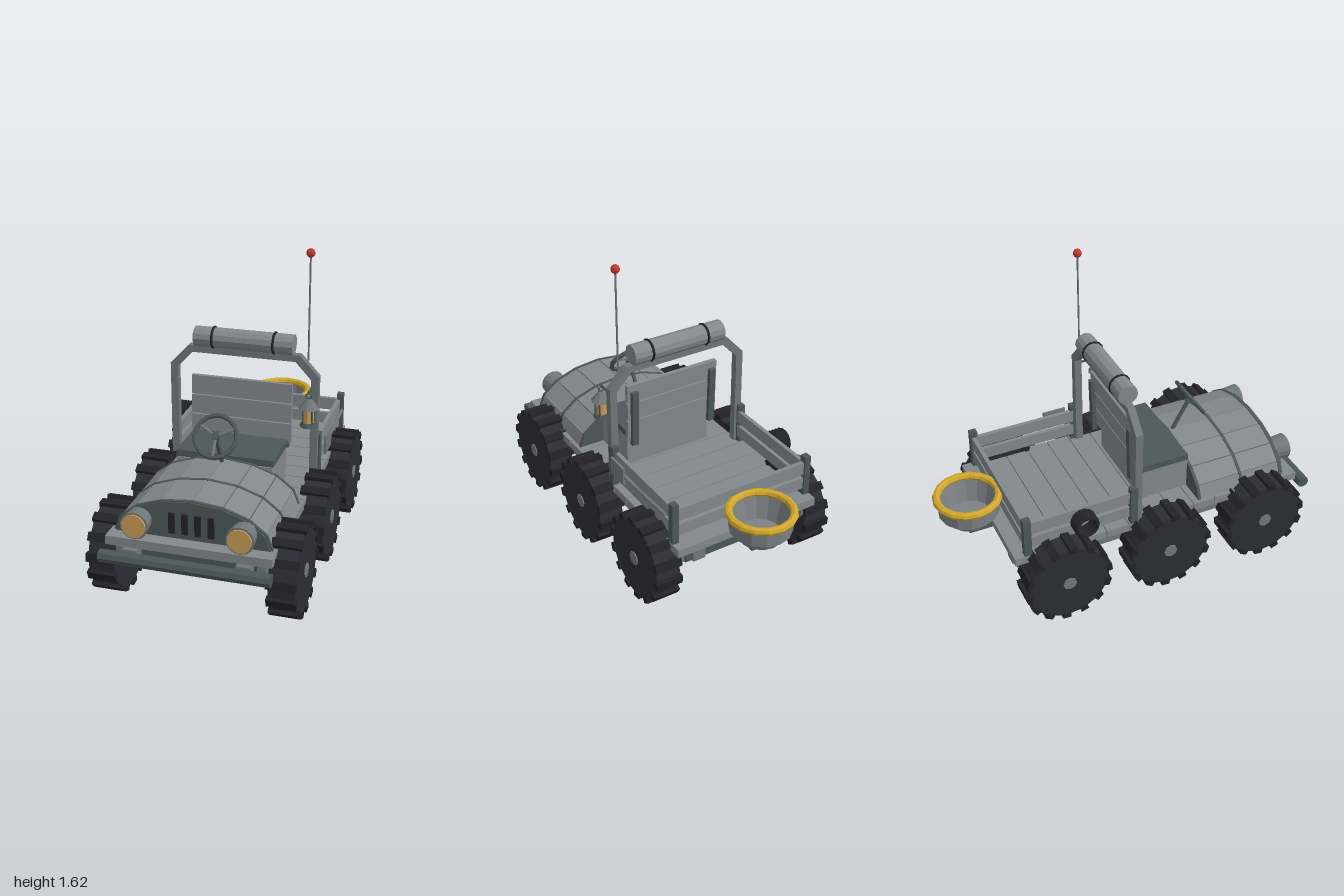
import * as THREE from 'three';

const mat = (name, color, extra = {}) => {
  const m = new THREE.MeshStandardMaterial({ color, flatShading: true, ...extra });
  m.name = name;
  return m;
};

export function createModel() {
  const root = new THREE.Group();
  const plank = mat('weathered plank', 0x83888d);
  const steel = mat('steel grey', 0x70777a);
  const dark = mat('dark slate', 0x4c5757);
  const rubber = mat('tyre', 0x2c2c35);
  const tread = mat('tread black', 0x222228);
  const lens = mat('lamp tan', 0xcb9d56);
  const gold = mat('gold', 0xd0a62c);
  const red = mat('red', 0xc0392b);
  const open = mat('bucket grey', 0x7c8184, { side: THREE.DoubleSide });

  const add = (name, geo, m, x = 0, y = 0, z = 0, parent = root) => {
    const mesh = new THREE.Mesh(geo, m);
    mesh.name = name;
    mesh.position.set(x, y, z);
    parent.add(mesh);
    return mesh;
  };
  const box = (name, m, w, h, d, x, y, z, parent) =>
    add(name, new THREE.BoxGeometry(w, h, d), m, x, y, z, parent);
  // Cylinder between two points
  const rod = (name, m, a, b, r, sides = 8, parent = root) => {
    const p = new THREE.Vector3(...a), q = new THREE.Vector3(...b);
    const mesh = add(name, new THREE.CylinderGeometry(r, r, p.distanceTo(q), sides), m, 0, 0, 0, parent);
    mesh.position.copy(p).add(q).multiplyScalar(0.5);
    mesh.quaternion.setFromUnitVectors(new THREE.Vector3(0, 1, 0), q.sub(p).normalize());
    return mesh;
  };

  // Six lugged wheels with axles and axle blocks
  for (const z of [0.67, 0.1, -0.47]) {
    rod('axle', dark, [-0.4, 0.245, z], [0.4, 0.245, z], 0.025);
    for (const s of [-1, 1]) {
      const wheel = new THREE.Group();
      wheel.name = 'wheel';
      wheel.position.set(s * 0.447, 0.24, z);
      root.add(wheel);
      rod('tyre', rubber, [-0.066, 0, 0], [0.066, 0, 0], 0.217, 28, wheel);
      rod('hub', steel, [-0.072, 0, 0], [0.072, 0, 0], 0.037, 8, wheel);
      for (let i = 0; i < 14; i++) {
        const a = (i / 14) * Math.PI * 2 + 0.1;
        const lug = box('lug', tread, 0.146, 0.03, 0.044, 0, Math.cos(a) * 0.22, Math.sin(a) * 0.22, wheel);
        lug.rotation.x = a;
      }
      box('axleBlock', dark, 0.07, 0.09, 0.08, s * 0.278, 0.255, z);
    }
  }

  // Chassis rails, cross beams and bumper
  for (const s of [-1, 1]) {
    box('chassisRail', steel, 0.07, 0.075, 1.64, s * 0.278, 0.328, 0.12);
    box('sideSill', steel, 0.04, 0.11, 1.56, s * 0.35, 0.348, 0.1);
  }
  for (const z of [0.84, 0.39, -0.19, -0.66]) box('crossBeam', dark, 0.7, 0.06, 0.06, 0, 0.325, z);
  rod('bumper', dark, [-0.42, 0.33, 0.962], [0.42, 0.33, 0.962], 0.033);

  // Deck planks laid crosswise
  for (let i = 0; i < 13; i++) {
    box('deckPlank', plank, 0.82, 0.045, 0.121, 0, 0.387, -0.657 + i * 0.1257);
  }

  // Arched bonnet: dark core with planks following the arch
  const N = 8, arch = [];
  for (let i = 0; i <= N; i++) {
    const a = (i / N) * Math.PI;
    arch.push(new THREE.Vector2(0.385 * Math.cos(a), 0.405 + 0.2 * Math.sin(a)));
  }
  const archShape = (k) => new THREE.Shape(arch.map((p) => new THREE.Vector2(p.x * k, 0.405 + (p.y - 0.405) * k)));
  const slab = (name, m, k, z0, z1) =>
    add(name, new THREE.ExtrudeGeometry(archShape(k), { depth: z1 - z0, bevelEnabled: false }), m, 0, 0, z0);
  slab('bonnetCore', dark, 0.97, 0.33, 0.83);
  for (let i = 0; i < N; i++) {
    const a = arch[i], b = arch[i + 1], len = a.distanceTo(b);
    const p = box('bonnetPlank', plank, len * 0.97, 0.012, 0.5, (a.x + b.x) / 2, (a.y + b.y) / 2 - 0.004, 0.58);
    p.rotation.z = Math.atan2(b.y - a.y, b.x - a.x);
  }
  for (const z of [0.33, 0.585, 0.825]) slab('bonnetBand', dark, 1.025, z - 0.008, z + 0.008);
  slab('grillePanel', dark, 1, 0.825, 0.842);
  for (const x of [-0.097, -0.032, 0.032, 0.097]) box('grilleSlot', tread, 0.03, 0.105, 0.02, x, 0.49, 0.842);

  // Headlamps
  for (const s of [-1, 1]) {
    const lamp = add('headlamp', new THREE.CylinderGeometry(0.07, 0.058, 0.11, 14), steel, s * 0.258, 0.487, 0.865);
    lamp.rotation.x = Math.PI / 2;
    rod('headlampLens', lens, [s * 0.258, 0.487, 0.915], [s * 0.258, 0.487, 0.928], 0.06, 14);
  }

  // Steering wheel and column
  rod('steeringColumn', dark, [0, 0.59, 0.355], [0, 0.78, 0.46], 0.011);
  const steer = new THREE.Group();
  steer.name = 'steeringWheel';
  steer.position.set(0, 0.782, 0.462);
  steer.rotation.x = -0.61;
  root.add(steer);
  add('steeringRim', new THREE.TorusGeometry(0.106, 0.012, 6, 18), dark, 0, 0, 0, steer);
  for (const a of [0.5, Math.PI - 0.5, -Math.PI / 2]) {
    rod('spoke', steel, [0, 0, 0], [Math.cos(a) * 0.104, Math.sin(a) * 0.104, 0], 0.009, 6, steer);
  }
  const boss = add('steeringBoss', new THREE.CylinderGeometry(0.02, 0.02, 0.025, 8), dark, 0, 0, 0, steer);
  boss.rotation.x = Math.PI / 2;

  // Seat with planked backrest
  box('seatBase', plank, 0.5, 0.18, 0.28, 0, 0.495, 0.19);
  box('seatCushion', dark, 0.51, 0.035, 0.28, 0, 0.603, 0.183);
  const back = new THREE.Group();
  back.name = 'backrest';
  back.position.set(0, 0.58, 0.02);
  back.rotation.x = -0.03;
  root.add(back);
  for (let i = 0; i < 3; i++) box('backrestPlank', plank, 0.54, 0.102, 0.025, 0, 0.07 + i * 0.108, 0, back);
  for (const s of [-1, 1]) box('backrestPost', dark, 0.035, 0.32, 0.025, s * 0.235, 0.14, -0.022, back);

  // Roll bar as a frame cut from one shape
  const frame = (w, top, chamfer, base) => [
    [-w, base], [-w, top - chamfer], [-w + chamfer * 0.92, top], [w - chamfer * 0.92, top], [w, top - chamfer], [w, base],
  ].map((p) => new THREE.Vector2(...p));
  const bar = new THREE.Shape([...frame(0.4, 1.066, 0.108, 0.4), ...frame(0.36, 1.03, 0.09, 0.4).reverse()]);
  add('rollBar', new THREE.ExtrudeGeometry(bar, { depth: 0.04, bevelEnabled: false }), steel, 0, 0, -0.055);

  // Bedroll strapped on top
  rod('bedroll', plank, [-0.265, 1.115, -0.035], [0.265, 1.115, -0.035], 0.054, 12);
  for (const x of [-0.163, 0.163]) {
    add('bedrollStrap', new THREE.TorusGeometry(0.054, 0.007, 6, 14), tread, x, 1.115, -0.035).rotation.y = Math.PI / 2;
  }

  // Aerial
  rod('aerial', steel, [0.34, 1.04, -0.035], [0.34, 1.6, -0.035], 0.005, 6);
  add('aerialTip', new THREE.SphereGeometry(0.023, 10, 8), red, 0.34, 1.6, -0.035);

  // Cargo bed: corner posts, side boards and tailgate
  for (const s of [-1, 1]) {
    for (const z of [-0.062, -0.645]) box('bedPost', dark, 0.035, 0.23, 0.04, s * 0.392, 0.52, z);
    for (const [y, h] of [[0.566, 0.07], [0.478, 0.065]]) box('sideBoard', plank, 0.022, h, 0.57, s * 0.382, y, -0.353);
  }
  for (const [y, h] of [[0.566, 0.07], [0.478, 0.065]]) box('tailBoard', plank, 0.76, h, 0.022, 0, y, -0.645);

  // Bucket on a rear bracket
  const bucket = [[0, 0.415], [0.115, 0.415], [0.148, 0.54], [0.163, 0.54], [0.158, 0.45], [0.125, 0.43], [0.11, 0.397], [0, 0.397]];
  add('bucket', new THREE.LatheGeometry(bucket.map((p) => new THREE.Vector2(...p)), 14), open, 0, 0, -0.815);
  add('bucketRim', new THREE.TorusGeometry(0.161, 0.021, 8, 16), gold, 0, 0.545, -0.815).rotation.x = Math.PI / 2;
  box('bucketBracket', dark, 0.13, 0.05, 0.16, 0, 0.373, -0.76);

  // Rope coil on the right side
  for (let i = 0; i < 4; i++) {
    add('ropeCoil', new THREE.TorusGeometry(0.056, 0.012, 6, 14), tread, -0.41 - i * 0.019, 0.54, -0.35).rotation.y = Math.PI / 2;
  }

  // Shovel on the left side
  rod('shovelHandle', steel, [0.425, 0.55, -0.1], [0.41, 0.55, -0.6], 0.009, 6);
  box('shovelBlade', steel, 0.012, 0.1, 0.13, 0.425, 0.55, -0.16);

  // Lantern hung from a hook on the roll bar
  const lx = 0.375, lz = 0.088;
  rod('lanternArm', dark, [lx, 0.915, -0.03], [lx, 0.915, 0.1], 0.007, 6);
  add('lanternRing', new THREE.TorusGeometry(0.014, 0.004, 6, 10), dark, lx, 0.893, lz);
  add('lanternRoof', new THREE.CylinderGeometry(0.014, 0.055, 0.05, 8), steel, lx, 0.853, lz);
  add('lanternGlass', new THREE.CylinderGeometry(0.028, 0.028, 0.085, 8), lens, lx, 0.787, lz);
  add('lanternBase', new THREE.CylinderGeometry(0.036, 0.046, 0.02, 8), dark, lx, 0.741, lz);
  for (let i = 0; i < 4; i++) {
    const a = (i + 0.5) * Math.PI / 2;
    rod('lanternBar', dark, [lx + Math.cos(a) * 0.034, 0.745, lz + Math.sin(a) * 0.034],
      [lx + Math.cos(a) * 0.034, 0.835, lz + Math.sin(a) * 0.034], 0.005, 5);
  }

  return root;
}
